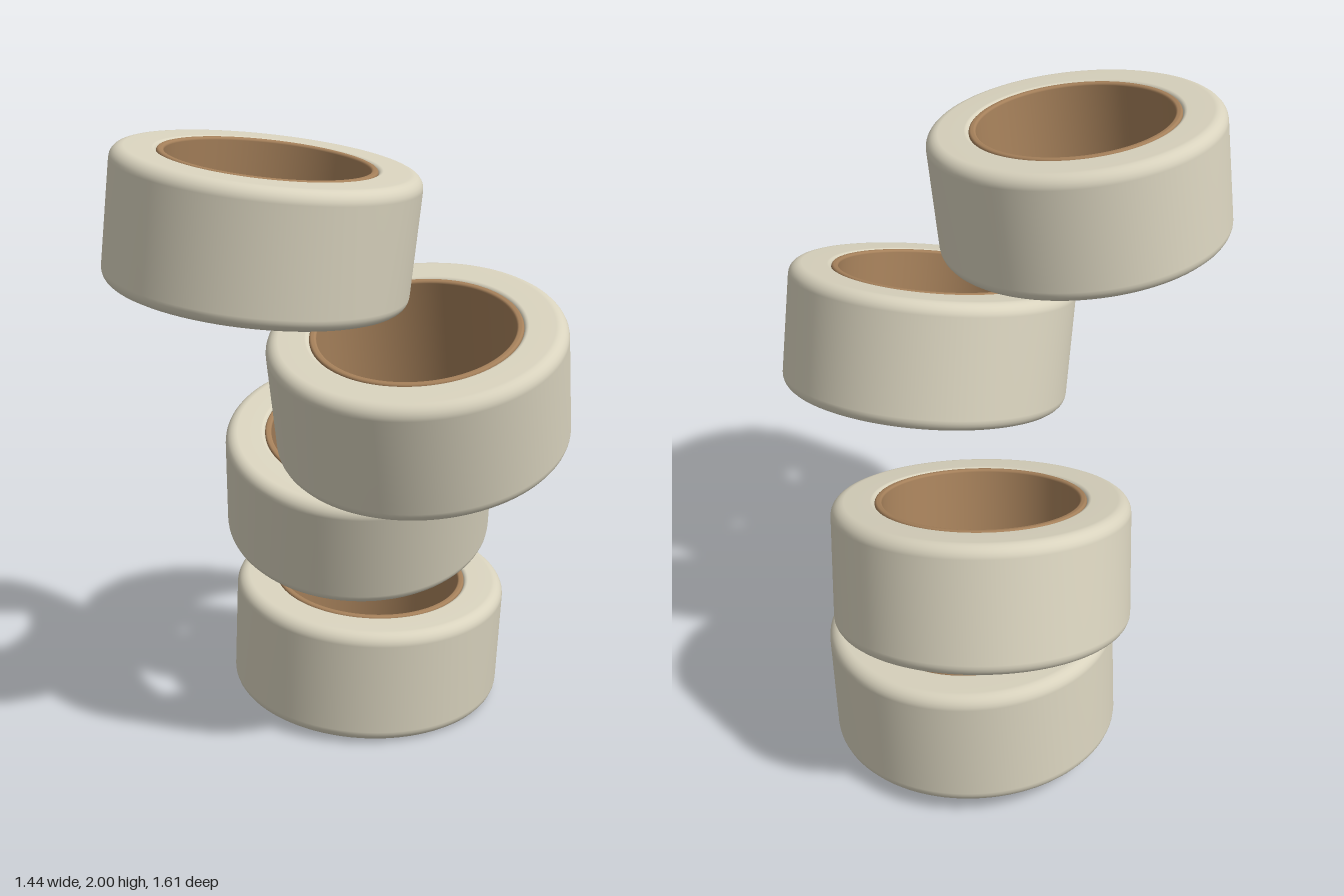
import * as THREE from 'three';

// Closed ring cross-section with rounded corners, running up the outside and down the inside
function ringProfile(inner, outer, half, rOut, rIn) {
  const pts = [];
  const corners = [
    [outer - rOut, -half + rOut, rOut, -90],
    [outer - rOut, half - rOut, rOut, 0],
    [inner + rIn, half - rIn, rIn, 90],
    [inner + rIn, -half + rIn, rIn, 180],
  ];
  for (const [cx, cy, r, start] of corners) {
    for (let i = 0; i <= 6; i++) {
      const a = THREE.MathUtils.degToRad(start + i * 15);
      pts.push(new THREE.Vector2(cx + r * Math.cos(a), cy + r * Math.sin(a)));
    }
  }
  pts.push(pts[0].clone());
  return pts;
}

export function createModel() {
  const group = new THREE.Group();
  group.name = 'tapeRollStack';

  const tapeMaterial = new THREE.MeshStandardMaterial({ color: 0xd9d3be });
  tapeMaterial.name = 'creamTape';
  const coreMaterial = new THREE.MeshStandardMaterial({ color: 0xa5805a });
  coreMaterial.name = 'brownCardboard';

  const tapeGeometry = new THREE.LatheGeometry(ringProfile(0.324, 0.46, 0.2, 0.04, 0.015), 96);
  const coreGeometry = new THREE.LatheGeometry(ringProfile(0.303, 0.325, 0.2, 0.008, 0.008), 96);

  // Each roll: name, centre, and direction of its tilted axis
  const rolls = [
    ['bottomRoll', [-0.14, 0.232, -0.245], [0.07, 1, 0.015]],
    ['lowerMiddleRoll', [-0.235, 0.742, -0.32], [0.19, 1, 0.22]],
    ['upperMiddleRoll', [0.247, 1.245, 0.01], [0.085, 1, 0.25]],
    ['topRoll', [-0.105, 1.755, 0.333], [0.095, 1, -0.065]],
  ];
  const up = new THREE.Vector3(0, 1, 0);
  for (const [name, centre, axis] of rolls) {
    const roll = new THREE.Group();
    roll.name = name;
    const tape = new THREE.Mesh(tapeGeometry, tapeMaterial);
    tape.name = 'tape';
    const core = new THREE.Mesh(coreGeometry, coreMaterial);
    core.name = 'core';
    roll.add(tape, core);
    roll.position.set(...centre);
    roll.quaternion.setFromUnitVectors(up, new THREE.Vector3(...axis).normalize());
    group.add(roll);
  }
  return group;
}
